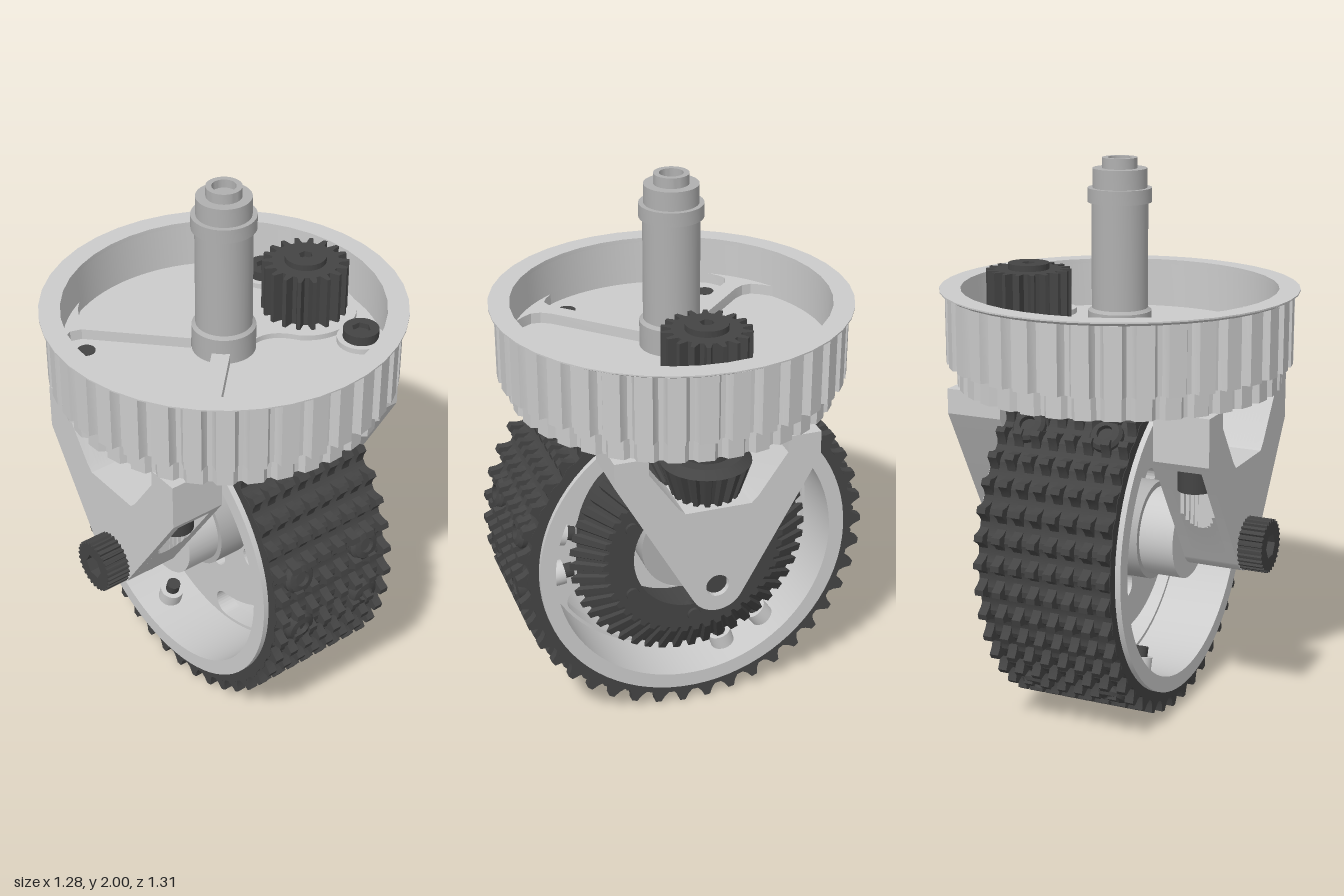
import * as THREE from 'three';
import { toCreasedNormals } from 'three/addons/utils/BufferGeometryUtils.js';

const grey = new THREE.MeshStandardMaterial({ color: 0xcccccc });
const mid = new THREE.MeshStandardMaterial({ color: 0xb0b0b0 });
const dark = new THREE.MeshStandardMaterial({ color: 0x444444 });
const WHEEL_Y = 0.655;

function add(parent, name, geo, mat = grey, x = 0, y = 0, z = 0) {
  const m = new THREE.Mesh(geo, mat);
  m.name = name;
  m.position.set(x, y, z);
  parent.add(m);
  return m;
}

// Closed outline repeating a tooth profile of [fraction of pitch, radius] n times
function toothed(n, profile) {
  const pts = [];
  for (let i = 0; i < n; i++) {
    for (const [f, r] of profile) {
      const a = ((i + f) / n) * Math.PI * 2;
      pts.push(new THREE.Vector2(r * Math.cos(a), r * Math.sin(a)));
    }
  }
  return new THREE.Shape(pts);
}
// Trapezoid teeth; land is the share of the pitch taken by the tip
const gearProfile = (root, tip, land = 0.3) => [[0, tip], [land, tip], [land + 0.15, root], [0.85, root]];

function circle(r, cx = 0, cy = 0) {
  return new THREE.Path().absarc(cx, cy, r, 0, Math.PI * 2, true);
}
function hexagon(r) {
  return toothed(6, [[0, r]]);
}
function withHoles(shape, ...holes) {
  shape.holes.push(...holes);
  return shape;
}

// Extrude with an optional linear taper towards the far end
function extrude(shape, depth, taper = 1) {
  const g = new THREE.ExtrudeGeometry(shape, { depth, bevelEnabled: false, curveSegments: 40 });
  const p = g.attributes.position;
  for (let i = 0; i < p.count; i++) {
    const s = 1 + (taper - 1) * (p.getZ(i) / depth);
    p.setXY(i, p.getX(i) * s, p.getY(i) * s);
  }
  g.computeVertexNormals();
  return toCreasedNormals(g, 0.4);
}
// Along x: shape axes become (-z, y). Along y: shape axes become (x, -z).
const alongX = (shape, x0, x1, taper) => extrude(shape, x1 - x0, taper).rotateY(Math.PI / 2).translate(x0, 0, 0);
const alongY = (shape, y0, y1, taper) => extrude(shape, y1 - y0, taper).rotateX(-Math.PI / 2).translate(0, y0, 0);

const cylX = (r, x0, x1, seg = 40) =>
  new THREE.CylinderGeometry(r, r, x1 - x0, seg).rotateZ(Math.PI / 2).translate((x0 + x1) / 2, 0, 0);
const cylY = (r, y0, y1, seg = 40) =>
  new THREE.CylinderGeometry(r, r, y1 - y0, seg).translate(0, (y0 + y1) / 2, 0);
function disc(r) {
  return new THREE.Shape().absarc(0, 0, r, 0, Math.PI * 2, false);
}
function lathe(points, seg = 48) {
  return toCreasedNormals(new THREE.LatheGeometry(points.map(p => new THREE.Vector2(...p)), seg), 0.5);
}

function buildDrum() {
  const g = new THREE.Group();
  g.name = 'turntable';
  const belt = [[0, 0.62], [0.56, 0.62], [0.62, 0.6], [0.7, 0.588], [0.86, 0.588], [0.94, 0.6]];
  add(g, 'beltTeeth', alongY(withHoles(toothed(36, belt), circle(0.565)), 1.285, 1.53));
  add(g, 'lowerRing', alongY(toothed(36, gearProfile(0.562, 0.582, 0.55)), 1.2, 1.286));
  add(g, 'floor', cylY(0.572, 1.28, 1.365, 64));
  add(g, 'topLip', lathe([[0.565, 1.53], [0.62, 1.53], [0.64, 1.541], [0.64, 1.546], [0.565, 1.546], [0.565, 1.53]], 40));

  // Ribs flaring from the hub into the wall
  for (const s of [1, -1]) {
    const rib = [[-0.05, 0.1], [-0.3, 0.355], [-0.322, 0.39], [-0.325, 0.425], [-0.305, 0.46], [-0.27, 0.5],
      [-0.36, 0.443], [-0.43, 0.375], [-0.49, 0.295], [-0.44, 0.337], [-0.41, 0.353], [-0.37, 0.34], [-0.1, 0.06]]
      .map(([x, y]) => new THREE.Vector2(x, y * s));
    add(g, 'rib', alongY(new THREE.Shape(rib), 1.36, 1.405));
    add(g, 'floorHole', cylY(0.033, 1.36, 1.368, 24), dark, -0.4, 0, 0.27 * s);
    add(g, 'boltBoss', cylY(0.085, 1.36, 1.385), grey, 0.4, 0, 0.27 * s);
    add(g, 'floorBolt', alongY(withHoles(disc(0.064), hexagon(0.034)), 1.38, 1.42), dark, 0.4, 0, 0.27 * s);
    add(g, 'boltSocket', cylY(0.037, 1.38, 1.4, 6), dark, 0.4, 0, 0.27 * s);
  }
  // Raised pad joining the hub to the pinion seat
  const pad = new THREE.Shape();
  pad.moveTo(0, 0.11);
  pad.quadraticCurveTo(0.14, -0.01, 0.23, 0.135);
  pad.absarc(0.365, 0, 0.19, 2.35, -2.35, true);
  pad.quadraticCurveTo(0.14, 0.01, 0, -0.11);
  add(g, 'pinionPad', alongY(pad, 1.36, 1.385));

  // Hollow central post
  add(g, 'centralPost', lathe([[0.113, 1.36], [0.113, 1.46], [0.1, 1.47], [0.1, 1.845], [0.113, 1.845],
    [0.113, 1.895], [0.096, 1.895], [0.096, 1.963], [0.062, 1.963], [0.062, 2], [0.042, 2], [0.042, 1.97], [0, 1.97]]), mid);
  return g;
}

function buildPinions() {
  const g = new THREE.Group();
  g.name = 'drivePinion';
  g.position.x = 0.365;
  add(g, 'spurGear', alongY(toothed(18, [[0, 0.155], [0.25, 0.155], [0.45, 0.12], [0.8, 0.12]]), 1.385, 1.58), dark);
  add(g, 'gearCap', alongY(withHoles(disc(0.075), hexagon(0.025)), 1.58, 1.602), dark);
  add(g, 'driveShaft', cylY(0.075, 1.1, 1.3), dark);
  add(g, 'bevelPinion', alongY(toothed(18, gearProfile(0.1, 0.12, 0.4)), 0.965, 1.09, 1.34), dark);
  add(g, 'bevelBack', alongY(disc(0.16), 1.09, 1.115, 0.8), dark);
  add(g, 'bevelShoulder', cylY(0.088, 1.11, 1.16), dark);
  return g;
}

function buildWheel() {
  const g = new THREE.Group();
  g.name = 'wheel';
  g.position.y = WHEEL_Y;
  add(g, 'rim', alongX(withHoles(disc(0.577), circle(0.52)), -0.27, 0.27));
  const knobProfile = r => [[0, r], [0.22, r], [0.34, r * 0.4 + 0.367], [0.5, 0.612], [0.72, 0.612], [0.88, r * 0.4 + 0.367]];
  add(g, 'treadBase', alongX(withHoles(toothed(42, knobProfile(0.62)), circle(0.57)), -0.25, 0.25), dark);
  const knobGeo = alongX(withHoles(toothed(42, knobProfile(0.655)), circle(0.59)), -0.0165, 0.0165);
  for (let i = 0; i < 8; i++) add(g, 'treadKnobs', knobGeo, dark, (i - 3.5) * 0.0662);

  // Web with three long windows and small lightening holes
  const web = withHoles(disc(0.53), circle(0.1));
  for (let i = 0; i < 3; i++) {
    const a = (i * Math.PI * 2) / 3, h = 0.42, r = 0.455, w = 0.052;
    const slot = new THREE.Path();
    slot.absarc(0, 0, r + w, a - h, a + h, false);
    slot.absarc(r * Math.cos(a + h), r * Math.sin(a + h), w, a + h, a + h + Math.PI, false);
    slot.absarc(0, 0, r - w, a + h, a - h, true);
    slot.absarc(r * Math.cos(a - h), r * Math.sin(a - h), w, a - h + Math.PI, a - h + Math.PI * 2, false);
    web.holes.push(slot);
  }
  for (let i = 0; i < 6; i++) {
    const a = ((i + 0.5) * Math.PI) / 3;
    web.holes.push(circle(0.045, 0.235 * Math.cos(a), 0.235 * Math.sin(a)));
  }
  add(g, 'web', alongX(web, -0.03, 0.04));
  add(g, 'hub', cylX(0.18, -0.15, 0.2), mid);
  add(g, 'hubSleeve', cylX(0.16, -0.28, 0.0));
  add(g, 'hubSpacer', cylX(0.105, 0.2, 0.295));

  // Bevel ring gear
  add(g, 'gearMount', alongX(withHoles(disc(0.38), circle(0.285)), 0.035, 0.2), dark);
  add(g, 'bevelRing', alongX(withHoles(toothed(48, gearProfile(0.425, 0.45, 0.45)), circle(0.3)), 0.195, 0.255, 0.76), dark);
  for (let i = 0; i < 6; i++) {
    const a = (i * Math.PI) / 3;
    add(g, 'ringBolt', cylX(0.025, 0.2, 0.268, 16), dark, 0, 0.27 * Math.cos(a), 0.27 * Math.sin(a));
  }

  // Tread bolts in three groups of four, each with a boss inside the rim
  const head = lathe([[0, 0.43], [0.026, 0.43], [0.026, 0.6], [0.06, 0.6], [0.06, 0.63], [0.05, 0.643],
    [0.028, 0.648], [0.028, 0.63], [0, 0.63]], 20).rotateX(Math.PI / 2);
  const boss = cylY(0.045, 0.465, 0.53, 24).rotateX(Math.PI / 2);
  for (let i = 0; i < 3; i++) {
    for (const da of [-0.125, 0.22]) {
      for (const x of [-0.147, 0.147]) {
        const angle = -(da + (i * Math.PI * 2) / 3);
        add(g, 'treadBolt', head, dark, x).rotation.x = angle;
        add(g, 'boltSeat', boss, grey, x).rotation.x = angle;
      }
    }
  }
  return g;
}

// Side plate outline with an open top; an optional notch reaches in to z = notch
function forkShape(shoulder, notch) {
  const edge = [[0.37, 1.2], [0.37, shoulder]];
  if (notch) edge.push([0.35, 1.0], [notch, 1.0], [notch, 0.607 + (notch - 0.088) * 1.5]);
  const s = new THREE.Shape();
  edge.forEach(([u, v], i) => (i ? s.lineTo(-u, v) : s.moveTo(-u, v)));
  s.absarc(0, WHEEL_Y, 0.1, Math.PI + 0.5, Math.PI * 2 - 0.5, false);
  edge.reverse().forEach(([u, v]) => s.lineTo(u, v));
  for (const [u, v] of [[0.25, 1.2], [0.25, 1.14], [0.145, 0.99], [0.12, 0.965],
    [-0.12, 0.965], [-0.145, 0.99], [-0.25, 1.14], [-0.25, 1.2]]) s.lineTo(u, v);
  return s;
}

function buildFork() {
  const g = new THREE.Group();
  g.name = 'fork';
  add(g, 'leftPlate', alongX(withHoles(forkShape(1.11), circle(0.042, 0, WHEEL_Y)), 0.29, 0.5));
  add(g, 'rightPlateInner', alongX(forkShape(1.03), -0.335, -0.295));
  add(g, 'rightPlateOuter', alongX(forkShape(1.03), -0.5, -0.465));
  // Slices between the two, cut by a round upright bore for each clamp bolt
  const slices = 10, step = 0.13 / slices;
  for (let i = 0; i < slices; i++) {
    const x = -0.465 + i * step, dx = x + step / 2 + 0.4;
    add(g, 'rightPlateCore', alongX(forkShape(1.03, 0.25 - Math.sqrt(0.065 ** 2 - dx * dx)), x, x + step));
  }
  for (const z of [0.25, -0.25]) add(g, 'clampBolt', cylY(0.06, 0.91, 1.0, 24), dark, -0.4, 0, z);

  add(g, 'axle', cylX(0.041, -0.52, 0.48, 24), dark, 0, WHEEL_Y);
  const cap = withHoles(toothed(28, gearProfile(0.088, 0.097)), hexagon(0.045));
  add(g, 'axleBolt', alongX(cap, -0.59, -0.5), dark, 0, WHEEL_Y);
  return g;
}

export function createModel() {
  const model = new THREE.Group();
  model.name = 'steeredDriveWheel';
  model.add(buildDrum(), buildPinions(), buildWheel(), buildFork());
  return model;
}
